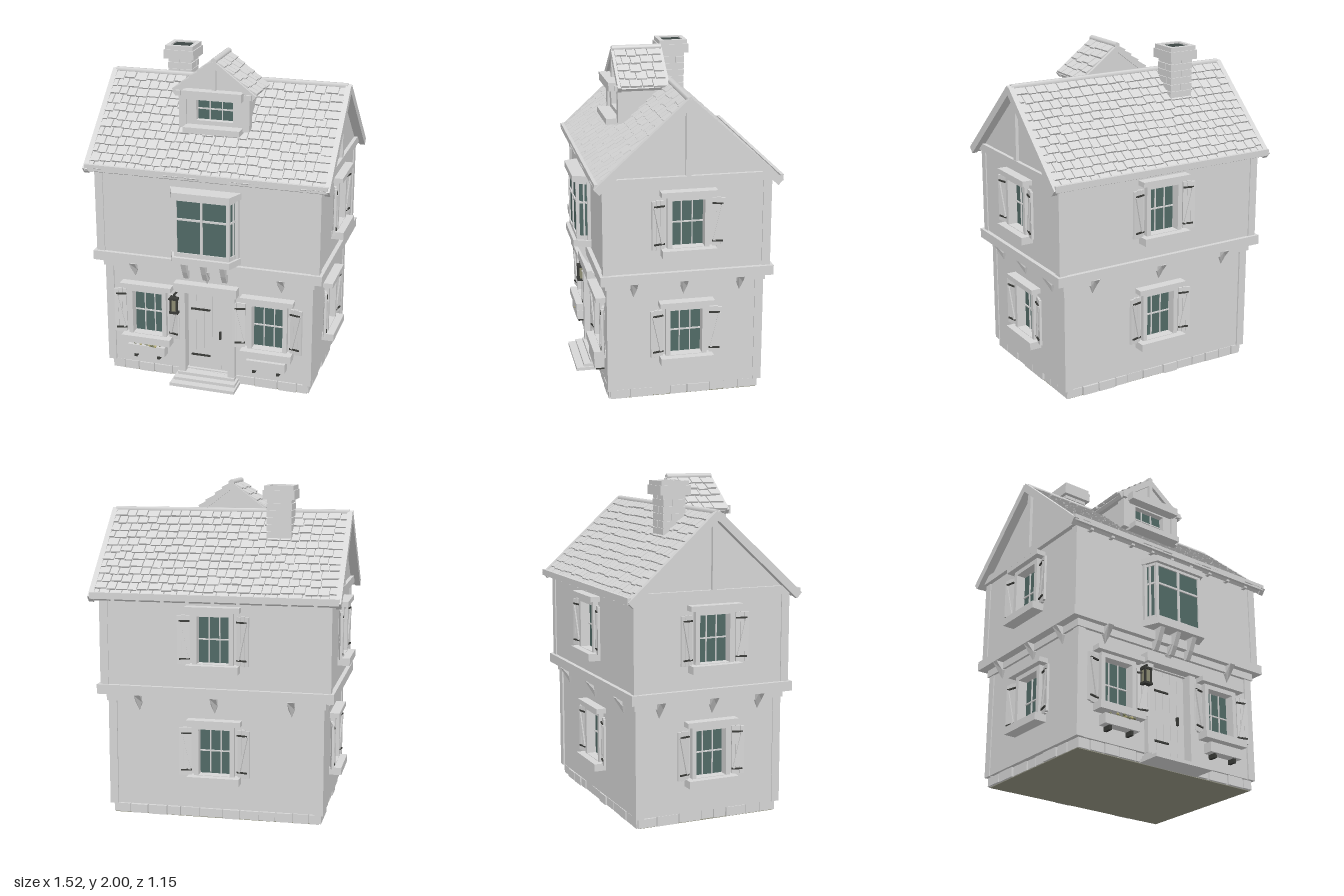
import * as THREE from 'three';
import { mergeGeometries } from 'three/addons/utils/BufferGeometryUtils.js';

const material = (name, color) => {
  const m = new THREE.MeshStandardMaterial({ color });
  m.name = name;
  return m;
};
const grey = material('paleGrey', 0xd6d6d6);
const glass = material('windowGlass', 0x516a66);
const iron = material('darkIron', 0x3a3b38);
const soot = material('chimneySoot', 0x3d4745);
const earth = material('baseBrown', 0x959583);
const lampGlass = material('lampGlass', 0x8e8d74);
const leaf = material('leafGreen', 0x7f8262);
const petal = material('petalYellow', 0xb9b178);

let seed = 7;
const rand = () => (seed = (seed * 16807) % 2147483647) / 2147483647;

function add(parent, name, geometry, mat = grey) {
  const mesh = new THREE.Mesh(geometry, mat);
  mesh.name = name;
  parent.add(mesh);
  return mesh;
}
function group(parent, name, x = 0, y = 0, z = 0, ry = 0) {
  const g = new THREE.Group();
  g.name = name;
  g.position.set(x, y, z);
  g.rotation.y = ry;
  parent.add(g);
  return g;
}
function box(parent, name, w, h, d, x, y, z, mat = grey) {
  const mesh = add(parent, name, new THREE.BoxGeometry(w, h, d), mat);
  mesh.position.set(x, y, z);
  return mesh;
}
// Straight prism of a polygon drawn in x and y
const vectors = points => points.map(p => new THREE.Vector2(...p));
function prism(points, depth, holes = []) {
  const shape = new THREE.Shape(vectors(points));
  for (const hole of holes) shape.holes.push(new THREE.Path(vectors(hole)));
  return new THREE.ExtrudeGeometry(shape, { depth, bevelEnabled: false });
}
const rect = (x, y, w, h) => [[x - w, y - h], [x + w, y - h], [x + w, y + h], [x - w, y + h]];

const RECESS = 0.035;

// Glass with glazing bars and a frame; the glass lies at z = 0
function casement(g, w, h, border, depth) {
  box(g, 'pane', w, h, 0.006, 0, 0, 0.003, glass);
  for (const s of [-1, 1]) {
    box(g, 'frameSide', border, h + border * 2, depth, s * (w + border) / 2, 0, depth / 2);
    box(g, 'frameRail', w, border, depth, 0, s * (h + border) / 2, depth / 2);
    box(g, 'glazingBar', 0.006, h, 0.012, s * w / 6, 0, 0.008);
  }
  box(g, 'crossBar', w, 0.008, 0.012, 0, 0, 0.008);
}

// Shuttered window facing +z, glass set back into the wall
function shutteredWindow(parent, x, y, z, ry) {
  const g = group(parent, 'shutteredWindow', x, y, z, ry);
  casement(group(g, 'casement', 0, 0, -RECESS), 0.19, 0.28, 0.027, RECESS + 0.03);
  box(g, 'lintel', 0.325, 0.03, 0.06, 0, 0.184, 0.03);
  box(g, 'sill', 0.315, 0.045, 0.075, 0, -0.165, 0.037);
  for (const s of [-1, 1]) {
    const sh = group(g, 'shutter', s * 0.177, 0, 0.02, -s * 0.25);
    for (let i = -1; i <= 1; i++)
      box(sh, 'shutterPlank', 0.024, 0.295 - Math.abs(i) * 0.008, 0.014, i * 0.0255, 0, 0);
    const brace = box(sh, 'shutterBrace', 0.014, 0.225, 0.01, 0, 0, 0.011);
    brace.rotation.z = -s * 0.22;
    for (const t of [-1, 1]) box(sh, 'hingeStrap', 0.064, 0.009, 0.008, -s * 0.006, t * 0.112, 0.011, iron);
  }
}

// Slab with overlapping tiles; starts at the ridge and falls towards +z
function roofSlope(parent, name, width, length, angle, rows, pos, ry) {
  const g = group(parent, name, ...pos);
  g.rotation.set(angle, ry, 0, 'YXZ');
  box(g, 'roofSlab', width, 0.02, length, 0, -0.01, length / 2);
  const step = length / rows, tiles = [];
  for (let r = 0; r < rows; r++) {
    for (let x = -width / 2; x < width / 2 - 0.01;) {
      let w = r % 2 && x === -width / 2 ? 0.035 : 0.05 + rand() * 0.03;
      if (x + w > width / 2 - 0.03) w = width / 2 - x;
      const t = new THREE.BoxGeometry(w - 0.006, 0.014, step * 1.25);
      t.rotateX(-0.14 - rand() * 0.06);
      t.translate(x + w / 2, 0.012, (r + 0.43) * step + (rand() - 0.5) * 0.014);
      tiles.push(t);
      x += w;
    }
  }
  add(g, 'roofTiles', mergeGeometries(tiles));
  return g;
}

// Storey with openings [x, y, half width, half height] cut through its outer panels
function storey(house, name, w, h, d, y, openings) {
  const g = group(house, name, 0, y);
  box(g, 'core', w - RECESS * 2, h, d - RECESS * 2, 0, 0, 0);
  const side = d - RECESS * 2;
  [[w, d, 0], [side, w, Math.PI / 2], [w, d, Math.PI], [side, w, -Math.PI / 2]].forEach(([len, across, ry], i) => {
    const panel = group(g, 'wallSide', 0, 0, 0, ry);
    const holes = openings[i].map(([ox, oy, ow, oh]) => rect(ox, oy - y, ow, oh));
    add(panel, 'wallPanel', prism(rect(0, 0, len / 2, h / 2), RECESS, holes)).position.z = across / 2 - RECESS;
  });
}

function walls(house) {
  box(house, 'basePlate', 1.25, 0.004, 0.88, 0, 0.002, 0, earth);
  box(house, 'foundationCore', 1.24, 0.055, 0.87, 0, 0.032, 0);
  // Rough foundation stones around the perimeter
  for (const [len, off, ry] of [[1.26, 0.42, 0], [1.26, 0.42, Math.PI], [0.9, 0.6, Math.PI / 2], [0.9, 0.6, -Math.PI / 2]]) {
    const side = group(house, 'foundationSide', 0, 0, 0, ry);
    for (let x = -len / 2; x < len / 2 - 0.01;) {
      let w = 0.08 + rand() * 0.07;
      if (x + w > len / 2 - 0.06) w = len / 2 - x;
      box(side, 'foundationStone', w - 0.008, 0.05 + rand() * 0.008, 0.05, x + w / 2, 0.032, off + rand() * 0.014);
      x += w;
    }
  }
  const low = x => [x, 0.415, 0.1, 0.145], high = [0, 1.095, 0.1, 0.145];
  storey(house, 'lowerWall', 1.29, 0.69, 0.91, 0.41, [[low(-0.38), low(0.38), [0, 0.333, 0.135, 0.262]], [low(0)], [low(0)], [low(0)]]);
  storey(house, 'upperWall', 1.37, 0.59, 0.97, 1.045, [[], [high], [high], [high]]);
  for (const sx of [-1, 1]) for (const sz of [-1, 1]) {
    box(house, 'lowerPost', 0.05, 0.68, 0.05, sx * 0.626, 0.402, sz * 0.441);
    box(house, 'upperPost', 0.05, 0.53, 0.05, sx * 0.667, 1.07, sz * 0.467);
  }
  // Jettied floor beam and the band below it
  box(house, 'floorBeam', 1.42, 0.058, 1.02, 0, 0.777, 0);
  box(house, 'beamBand', 1.32, 0.045, 0.95, 0, 0.727, 0);
  // Pointed corbels: shield-shaped in front, splayed at the top
  const corbel = prism([[-0.019, 0.75], [-0.019, 0.7], [0, 0.65], [0.019, 0.7], [0.019, 0.75]], 1);
  const p = corbel.attributes.position;
  for (let i = 0; i < p.count; i++) if (p.getZ(i) > 0) p.setZ(i, p.getY(i) > 0.72 ? 0.064 : 0.022 * (p.getY(i) - 0.63) / 0.07);
  corbel.computeVertexNormals();
  const addCorbel = (x, z, ry) => {
    const m = add(house, 'corbel', corbel);
    m.position.set(x, 0, z);
    m.rotation.y = ry;
  };
  for (const x of [-0.46, 0, 0.46]) {
    addCorbel(x, 0.455, 0);
    addCorbel(x, -0.455, Math.PI);
  }
  for (const z of [-0.32, 0.015, 0.31]) for (const s of [-1, 1]) addCorbel(s * 0.645, z, s * Math.PI / 2);
  // Gable ends
  const gable = prism([[-0.49, 1.33], [0.49, 1.33], [0, 1.775]], 1.38).translate(0, 0, -0.69).rotateY(Math.PI / 2);
  add(house, 'gableWalls', gable);
  for (const s of [-1, 1]) {
    box(house, 'gablePost', 0.025, 0.4, 0.032, s * 0.697, 1.57, 0);
    box(house, 'gableBeam', 0.03, 0.048, 0.96, s * 0.697, 1.352, 0);
  }
}

function mainRoof(house) {
  const angle = 0.738, length = 0.705;
  for (const ry of [0, Math.PI]) {
    const slope = roofSlope(house, 'mainRoofSlope', 1.44, length, angle, 12, [0, 1.80, 0], ry);
    for (const s of [-1, 1]) box(slope, 'bargeBoard', 0.032, 0.046, length + 0.018, s * 0.73, 0, length / 2);
    box(house, 'eaveBoard', 1.47, 0.038, 0.02, 0, 1.344, ry ? -0.535 : 0.53);
  }
  const ridge = add(house, 'ridgeCap', new THREE.CylinderGeometry(0.019, 0.019, 1.45, 6).rotateZ(Math.PI / 2));
  ridge.position.y = 1.812;
  for (let i = -4; i <= 4; i++) for (const s of [-1, 1])
    box(house, 'rafterEnd', 0.02, 0.022, 0.06, i * 0.15, 1.322, s * 0.49);
}

function dormer(house) {
  const g = group(house, 'dormer');
  box(g, 'dormerBody', 0.4, 0.23, 0.235, 0, 1.68, 0.1375);
  add(g, 'dormerGable', prism([[-0.215, 1.785], [0.215, 1.785], [0, 1.95]], 0.28)).position.z = 0.02;
  casement(group(g, 'dormerWindow', 0, 1.685, 0.255), 0.225, 0.13, 0.057, 0.045);
  box(g, 'dormerLintel', 0.36, 0.05, 0.085, 0, 1.785, 0.322);
  box(g, 'dormerSill', 0.345, 0.035, 0.115, 0, 1.577, 0.322);
  box(g, 'dormerGablePost', 0.025, 0.14, 0.02, 0, 1.88, 0.308);
  for (const s of [-1, 1]) {
    box(g, 'dormerPost', 0.045, 0.22, 0.06, s * 0.192, 1.685, 0.285);
    box(g, 'dormerEaveBeam', 0.03, 0.03, 0.32, s * 0.215, 1.785, 0.175);
    const slope = roofSlope(g, 'dormerRoofSlope', 0.28, 0.305, 0.65, 5, [0, 1.968, 0.165], s * Math.PI / 2);
    for (const e of [-1, 1]) box(slope, 'dormerBargeBoard', 0.024, 0.035, 0.31, e * 0.142, -0.004, 0.155);
  }
  const cap = add(g, 'dormerRidge', new THREE.CylinderGeometry(0.019, 0.019, 0.3, 6).rotateX(Math.PI / 2));
  cap.position.set(0, 1.981, 0.165);
}

function chimney(house) {
  const g = group(house, 'chimney', -0.33, 0, -0.115);
  box(g, 'chimneyCore', 0.135, 0.33, 0.125, 0, 1.735, 0);
  // Courses of two bricks, split alternately along each direction
  for (let i = 0; i < 8; i++) {
    const y = 1.602 + i * 0.0415, cut = (rand() - 0.5) * 0.05, e = rand() * 0.006;
    for (const s of [-1, 1]) {
      const w = 0.071 + s * cut, d = 0.067 + s * cut;
      if (i % 2) box(g, 'brick', w, 0.037, 0.14 + e, s * (0.0745 - w / 2), y, 0);
      else box(g, 'brick', 0.148 + e, 0.037, d, 0, y, s * (0.0705 - d / 2));
    }
  }
  const ring = (name, r, y, h) => {
    const geo = prism(rect(0, 0, r, r), h, [rect(0, 0, 0.062, 0.062)]).rotateX(-Math.PI / 2);
    add(g, name, geo).position.y = y;
  };
  ring('chimneyCap', 0.095, 1.895, 0.055);
  ring('chimneyRim', 0.088, 1.95, 0.026);
  box(g, 'flueOpening', 0.124, 0.02, 0.124, 0, 1.957, 0, soot);
}

function bayWindow(house) {
  const g = group(house, 'bayWindow', 0, 0, 0.48);
  // Trapezoid layers: x across, z outwards
  const layer = (name, back, front, depth, y, h, mat) => {
    const geo = prism([[-back, 0], [-front, -depth], [front, -depth], [back, 0]], h).rotateX(-Math.PI / 2);
    add(g, name, geo, mat).position.y = y;
  };
  layer('bayGlass', 0.195, 0.163, 0.08, 0.85, 0.38, glass);
  layer('bayTop', 0.22, 0.175, 0.11, 1.222, 0.038);
  layer('bayBase', 0.22, 0.175, 0.11, 0.816, 0.04);
  for (const [y, h] of [[0.856, 0.025], [1.085, 0.012], [1.206, 0.016]]) layer('bayRail', 0.202, 0.168, 0.088, y, h);
  box(g, 'bayMullion', 0.014, 0.37, 0.014, 0, 1.04, 0.082);
  for (const s of [-1, 1]) {
    box(g, 'bayCornerPost', 0.02, 0.37, 0.02, s * 0.161, 1.04, 0.078);
    box(g, 'baySideMullion', 0.01, 0.37, 0.01, s * 0.181, 1.04, 0.042);
    box(g, 'bayWallPost', 0.02, 0.37, 0.025, s * 0.197, 1.04, 0.012);
  }
  for (const x of [-0.12, 0, 0.12]) {
    const b = prism([[0, 0.816], [0, 0.69], [-0.02, 0.69], [-0.05, 0.74], [-0.085, 0.816]], 0.03).rotateY(Math.PI / 2);
    add(g, 'bayBracket', b).position.x = x - 0.015;
  }
}

function entrance(house) {
  const g = group(house, 'entrance', 0, 0, 0.455);
  // Door set back into its opening
  const door = group(g, 'door', 0, 0, -RECESS);
  for (let i = -2; i <= 2; i++) box(door, 'doorPlank', 0.05, 0.53, 0.016, i * 0.052, 0.33, 0.008);
  for (const y of [0.16, 0.468]) box(door, 'doorHinge', 0.12, 0.011, 0.009, -0.05, y, 0.019, iron);
  box(door, 'doorHandle', 0.012, 0.05, 0.016, 0.075, 0.31, 0.022, iron);
  for (const s of [-1, 1]) box(g, 'doorJamb', 0.045, 0.545, 0.035, s * 0.157, 0.332, 0.017);
  box(g, 'doorLintel', 0.395, 0.055, 0.06, 0, 0.628, 0.03);
  box(g, 'lowerStep', 0.41, 0.02, 0.17, 0, 0.012, 0.05);
  box(g, 'middleStep', 0.39, 0.018, 0.125, 0, 0.031, 0.025);
  box(g, 'upperStep', 0.36, 0.018, 0.08, 0, 0.049, 0.005);
  // Wall lantern
  const l = group(g, 'lantern', -0.197, 0.505, 0.04);
  box(l, 'lanternGlass', 0.038, 0.08, 0.038, 0, 0, 0, lampGlass);
  for (const s of [-1, 1]) {
    box(l, 'lanternPlate', 0.056, 0.014, 0.056, 0, s * 0.045, 0, iron);
    for (const t of [-1, 1]) box(l, 'lanternBar', 0.011, 0.085, 0.011, s * 0.02, 0, t * 0.02, iron);
  }
  box(l, 'lanternArm', 0.01, 0.01, 0.055, 0, 0.068, -0.015, iron);
  box(l, 'lanternHook', 0.008, 0.02, 0.008, 0, 0.058, 0, iron);
}

function planter(house, x, flowers) {
  const g = group(house, 'planter', x, 0.18, 0.49);
  box(g, 'planterBox', 0.24, 0.06, 0.06, 0, 0, 0);
  for (const s of [-1, 1]) box(g, 'planterBracket', 0.018, 0.03, 0.05, s * 0.075, -0.042, -0.008, iron);
  for (let i = 0; i < flowers; i++) {
    const f = add(g, 'flower', new THREE.IcosahedronGeometry(0.009, 0), i % 3 ? leaf : petal);
    f.position.set((rand() - 0.5) * 0.18, 0.03 + rand() * 0.014, 0.01 + rand() * 0.025);
  }
}

export function createModel() {
  seed = 7;
  const model = new THREE.Group();
  model.name = 'townHouse';
  const house = group(model, 'house', 0, 0, -0.015);
  for (const build of [walls, mainRoof, dormer, chimney, bayWindow, entrance]) build(house);
  for (const s of [-1, 1]) {
    shutteredWindow(house, s * 0.38, 0.415, 0.455, 0);
    shutteredWindow(house, s * 0.645, 0.415, 0, s * Math.PI / 2);
    shutteredWindow(house, s * 0.685, 1.095, 0, s * Math.PI / 2);
    planter(house, s * 0.38, s < 0 ? 12 : 0);
  }
  shutteredWindow(house, 0, 0.415, -0.455, Math.PI);
  shutteredWindow(house, 0, 1.095, -0.485, Math.PI);
  return model;
}
